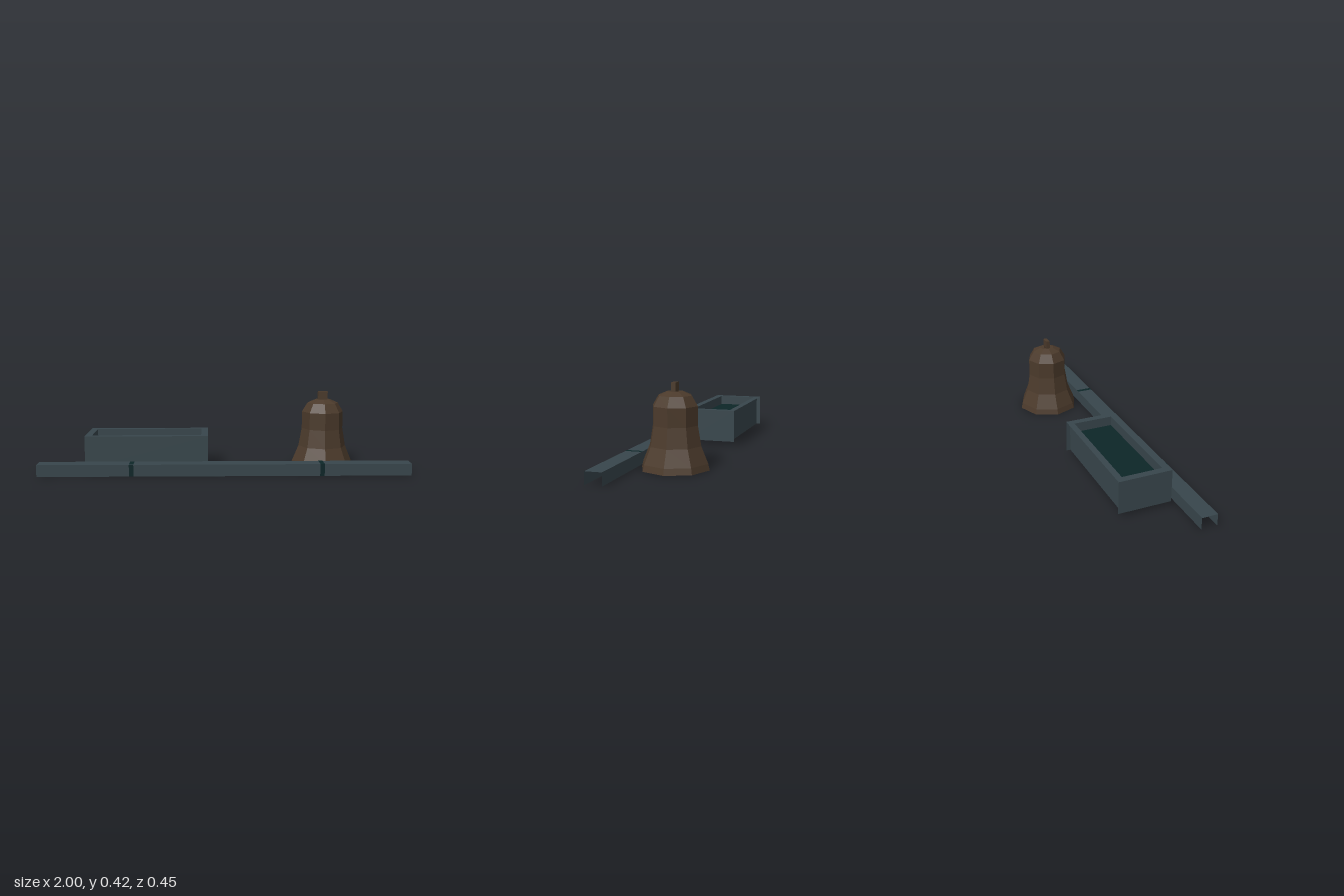
import * as THREE from 'three';

const mat = (name, color, flatShading = false) => {
  const m = new THREE.MeshStandardMaterial({ color, side: THREE.DoubleSide, flatShading });
  m.name = name;
  return m;
};

export function createModel() {
  const slate = mat('slate', 0x38464c);
  const deep = mat('deepTeal', 0x0d2628);
  const bronze = mat('bronze', 0x4b3a2b, true);
  const root = new THREE.Group();

  const add = (parent, name, geometry, material, x = 0, y = 0, z = 0) => {
    const mesh = new THREE.Mesh(geometry, material);
    mesh.name = name;
    mesh.position.set(x, y, z);
    parent.add(mesh);
    return mesh;
  };
  const group = (name) => {
    const g = new THREE.Group();
    g.name = name;
    root.add(g);
    return g;
  };

  // Thin sheets given by their extents; facing +z, +x or +y
  const sheetZ = (p, name, m, x0, x1, y0, y1, z, back = false) => {
    const s = add(p, name, new THREE.PlaneGeometry(x1 - x0, y1 - y0), m, (x0 + x1) / 2, (y0 + y1) / 2, z);
    if (back) s.rotation.y = Math.PI;
  };
  const sheetX = (p, name, m, z0, z1, y0, y1, x, left = true) => {
    const s = add(p, name, new THREE.PlaneGeometry(z1 - z0, y1 - y0), m, x, (y0 + y1) / 2, (z0 + z1) / 2);
    s.rotation.y = left ? Math.PI / 2 : -Math.PI / 2;
  };
  const sheetY = (p, name, m, x0, x1, z0, z1, y) => {
    const s = add(p, name, new THREE.PlaneGeometry(x1 - x0, z1 - z0), m, (x0 + x1) / 2, y, (z0 + z1) / 2);
    s.rotation.x = -Math.PI / 2;
  };

  // Long kerb: a channel open below and at its ends
  const kerb = group('kerb');
  const KH = 0.064, K0 = 0.138, K1 = 0.224;
  sheetZ(kerb, 'kerbFront', slate, -1, 1, 0, KH, K1);
  sheetZ(kerb, 'kerbBack', slate, -1, 1, 0, KH, K0, true);
  sheetY(kerb, 'kerbTop', slate, -1, 1, K0, K1, KH);

  // Dark joints painted across the kerb
  for (const x of [-0.498, 0.521]) {
    sheetZ(kerb, 'jointFront', deep, x - 0.012, x + 0.012, 0, KH, K1 + 0.001);
    sheetY(kerb, 'jointTop', deep, x - 0.012, x + 0.012, K0, K1, KH + 0.001);
  }

  // Trough: outer walls, rim, inner walls and dark bed, open below
  const trough = group('trough');
  const X0 = -0.76, X1 = -0.09, Z0 = -0.177, Z1 = 0.108, B = 0.02, T = 0.197;
  const x0 = -0.723, x1 = -0.127, z0 = -0.144, z1 = 0.071, bed = 0.145;
  sheetZ(trough, 'troughFront', slate, X0, X1, B, T, Z1);
  sheetZ(trough, 'troughBack', slate, X0, X1, B, T, Z0 + 0.022, true);
  sheetX(trough, 'troughLeft', slate, Z0, Z1, B, T, X1);
  sheetX(trough, 'troughRight', slate, Z0, Z1, B, T, X0, false);

  const path = (shape, a, b, c, d) =>
    shape.moveTo(a, -d).lineTo(b, -d).lineTo(b, -c).lineTo(a, -c).closePath();
  const rim = new THREE.Shape();
  path(rim, X0, X1, Z0, Z1);
  const opening = new THREE.Path();
  path(opening, x0, x1, z0, z1);
  rim.holes.push(opening);
  add(trough, 'troughRim', new THREE.ShapeGeometry(rim).rotateX(-Math.PI / 2), slate, 0, T, 0);

  sheetZ(trough, 'innerBack', slate, x0, x1, bed, T, z0);
  sheetZ(trough, 'innerFront', slate, x0, x1, bed, T, z1, true);
  sheetX(trough, 'innerRight', slate, z0, z1, bed, T, x0);
  sheetX(trough, 'innerLeft', slate, z0, z1, bed, T, x1, false);
  sheetY(trough, 'troughBed', deep, x0, x1, z0, z1, bed);

  // Eight-sided bell, hollow, with a small hole in its crown
  const bell = group('bell');
  bell.position.set(0.555, 0, -0.05);
  const profile = [
    [0.175, 0], [0.167, 0.032], [0.132, 0.116], [0.115, 0.216],
    [0.115, 0.31], [0.085, 0.36], [0.041, 0.379], [0.018, 0.379],
  ].map(([r, y]) => new THREE.Vector2(r, y));
  add(bell, 'bellBody', new THREE.LatheGeometry(profile, 8), bronze);
  add(bell, 'bellLug', new THREE.BoxGeometry(0.053, 0.045, 0.022), bronze, 0, 0.401, 0);

  return root;
}
